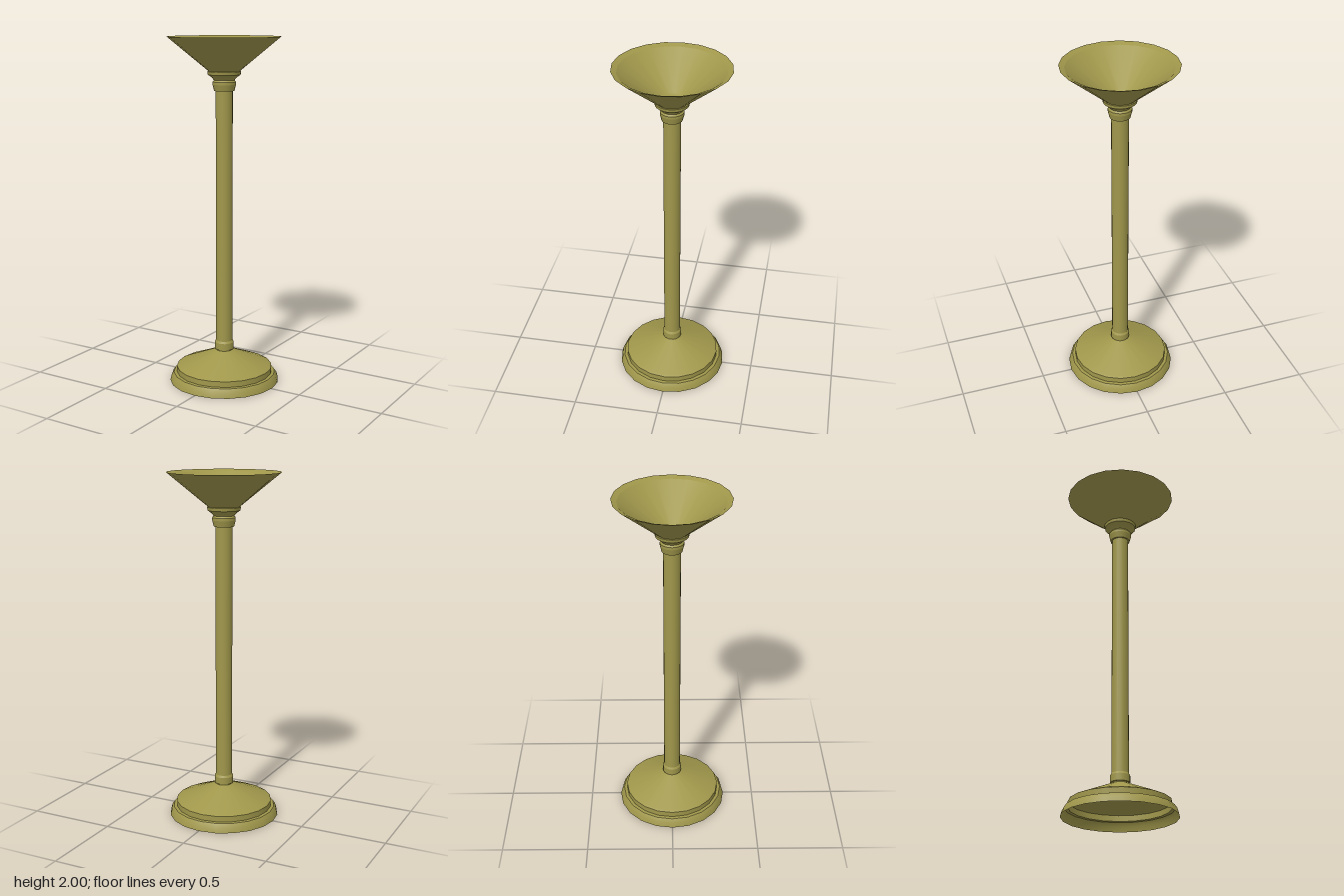
import * as THREE from 'three';

const SIDES = 20;
const brass = new THREE.MeshStandardMaterial({ color: 0xa0974b, side: THREE.DoubleSide });

// Each run of profile points [radius, height] is smooth; edges between runs stay sharp.
function turned(name, runs) {
  const part = new THREE.Group();
  part.name = name;
  runs.forEach((run, i) => {
    const points = run.map(([r, y]) => new THREE.Vector2(r, y));
    const mesh = new THREE.Mesh(new THREE.LatheGeometry(points, SIDES), brass);
    mesh.name = `${name}Section${i + 1}`;
    part.add(mesh);
  });
  return part;
}

export function createModel() {
  const lamp = new THREE.Group();
  lamp.name = 'floorLamp';

  // Hollow stepped foot, open underneath
  lamp.add(turned('base', [
    [[0.32, 0], [0.312, 0.03], [0.298, 0.05]],
    [[0.298, 0.05], [0.28, 0.052]],
    [[0.28, 0.052], [0.28, 0.085]],
    [[0.28, 0.085], [0.27, 0.09]],
    [[0.27, 0.09], [0.045, 0.185]],
  ]));

  // Ring where the pole meets the foot
  lamp.add(turned('lowerCollar', [
    [[0.04, 0.187], [0.055, 0.19]],
    [[0.055, 0.19], [0.055, 0.23]],
    [[0.055, 0.23], [0.048, 0.242]],
  ]));

  lamp.add(turned('pole', [[[0.048, 0.18], [0.048, 1.76]]]));

  // Stacked mouldings under the bowl
  lamp.add(turned('upperCollar', [
    [[0.048, 1.7], [0.057, 1.7]],
    [[0.057, 1.7], [0.066, 1.735]],
    [[0.066, 1.735], [0.066, 1.75]],
    [[0.066, 1.75], [0.058, 1.76]],
    [[0.058, 1.76], [0.07, 1.775], [0.092, 1.79]],
    [[0.092, 1.79], [0.095, 1.808]],
    [[0.095, 1.808], [0.08, 1.81]],
  ]));

  // Funnel shade with a bevelled lip and a rounded bottom inside
  lamp.add(turned('shade', [
    [[0.08, 1.803], [0.32, 2]],
    [[0.32, 2], [0.29, 1.988]],
    [[0.29, 1.988], [0.075, 1.822], [0.055, 1.812], [0, 1.808]],
  ]));

  return lamp;
}
